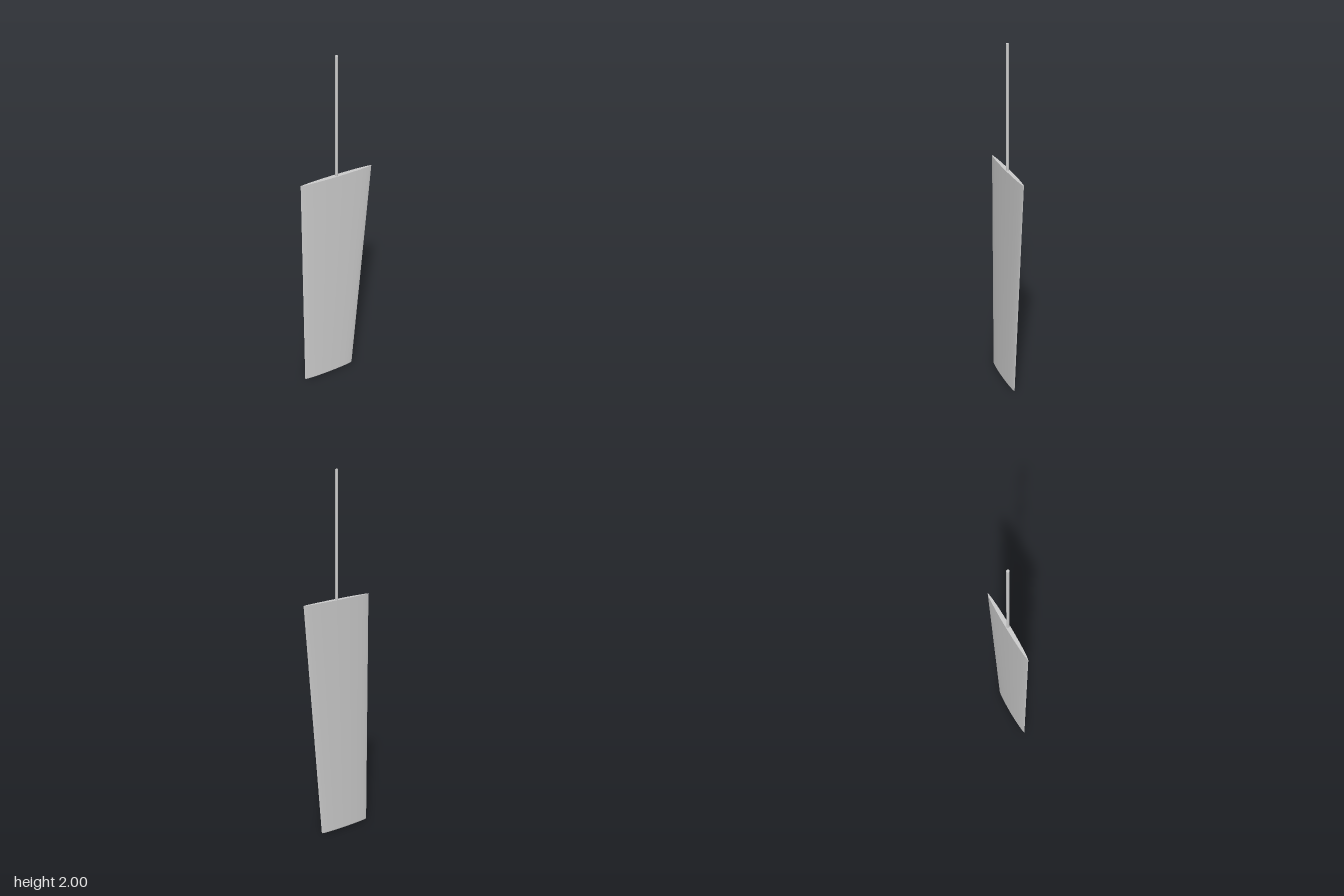
import * as THREE from 'three';

const SEGMENTS = 64;
const LEFT = -0.205;
const HALF_THICKNESS = 0.0115;
const TOP = 1.328;

// Foil outline at height y: rounded right edge, sharper left edge, tapering in chord
function section(y, inset = 0) {
  const right = 0.1 + (0.205 - 0.1) * (y / TOP) - inset;
  const left = LEFT + inset;
  const points = [];
  for (let i = 0; i <= SEGMENTS; i++) {
    const t = -Math.PI + (2 * Math.PI * i) / SEGMENTS;
    const c = Math.cos(t), s = Math.sin(t);
    const power = c > 0 ? 1.05 : 1.3;
    const z = Math.sign(s) * Math.pow(Math.abs(s), power) * (HALF_THICKNESS - inset * 0.5);
    points.push([(left + right) / 2 + (c * (right - left)) / 2, y, z]);
  }
  return points;
}

// Smooth skin through the sections, seam kept on the sharp left edge
function loft(rings) {
  const positions = rings.flat(2), index = [], n = SEGMENTS + 1;
  for (let r = 0; r < rings.length - 1; r++) {
    for (let i = 0; i < SEGMENTS; i++) {
      const a = r * n + i, b = a + n;
      index.push(a, b, a + 1, b, b + 1, a + 1);
    }
  }
  return makeGeometry(positions, index);
}

// Flat end closing one section
function cap(ring, up) {
  const middle = [(ring[0][0] + ring[SEGMENTS / 2][0]) / 2, ring[0][1], 0];
  const positions = [middle, ...ring].flat(), index = [];
  for (let i = 1; i <= SEGMENTS; i++) {
    if (up) index.push(0, i + 1, i);
    else index.push(0, i, i + 1);
  }
  return makeGeometry(positions, index);
}

function makeGeometry(positions, index) {
  const geometry = new THREE.BufferGeometry();
  geometry.setAttribute('position', new THREE.Float32BufferAttribute(positions, 3));
  geometry.setIndex(index);
  geometry.computeVertexNormals();
  return geometry;
}

export function createModel() {
  const model = new THREE.Group();
  model.name = 'rudder';
  const material = new THREE.MeshStandardMaterial({ color: 0xcccccc });
  const add = (parent, name, geometry) => {
    const mesh = new THREE.Mesh(geometry, material);
    mesh.name = name;
    parent.add(mesh);
    return mesh;
  };

  // Blade with a slightly softened bottom edge
  const blade = new THREE.Group();
  blade.name = 'blade';
  model.add(blade);
  const rings = [section(0, 0.005), section(0.0015, 0.002), section(0.006), section(TOP / 2), section(TOP)];
  add(blade, 'bladeSkin', loft(rings));
  add(blade, 'bladeTop', cap(rings[rings.length - 1], true));
  add(blade, 'bladeBottom', cap(rings[0], false));

  // Round stock rising from the blade
  const stockBase = TOP - 0.01;
  const stock = add(model, 'stock', new THREE.CylinderGeometry(0.0075, 0.0075, 2 - stockBase, 32));
  stock.position.y = (2 + stockBase) / 2;

  return model;
}
